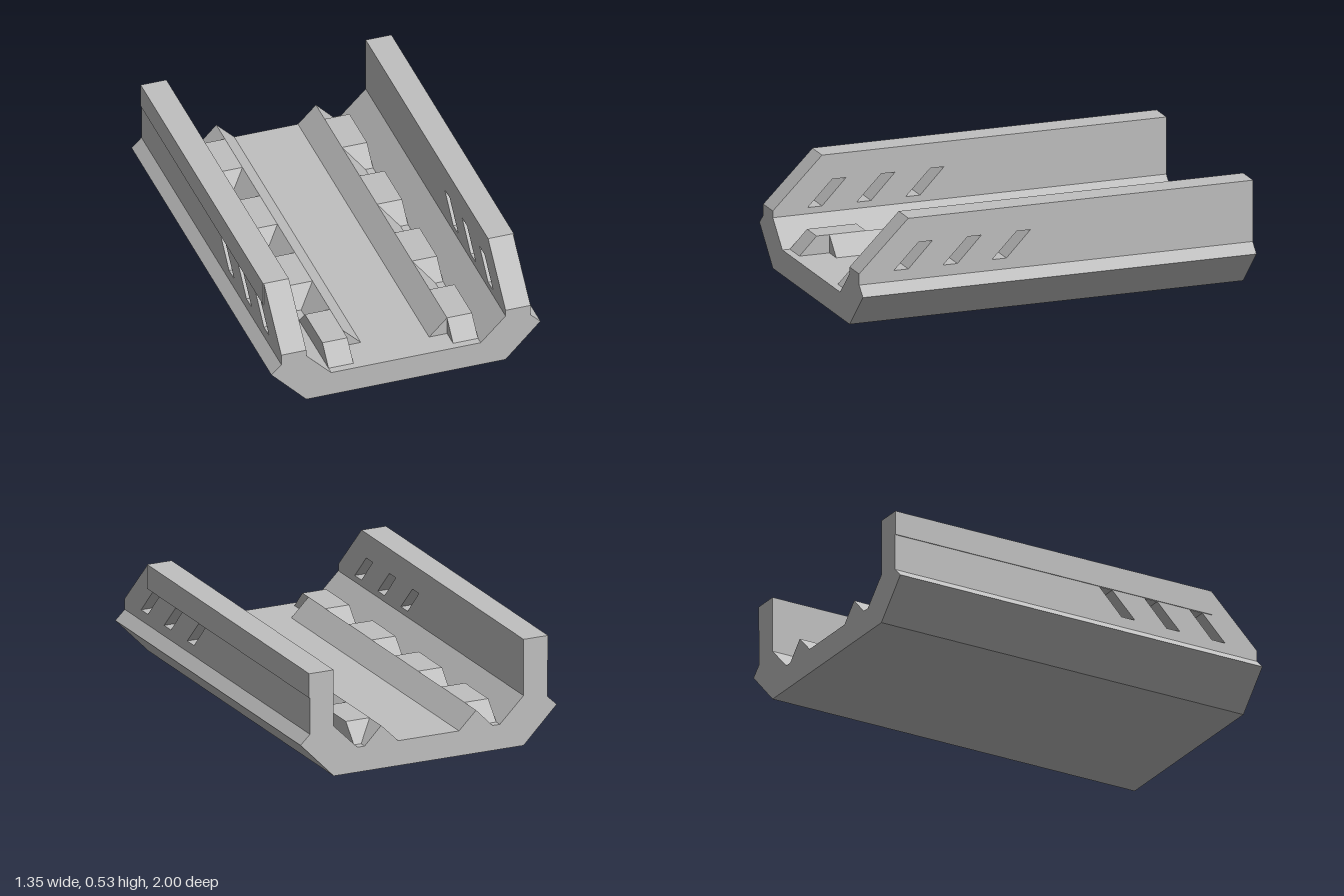
import * as THREE from 'three';

const toShape = (pts) => new THREE.Shape(pts.map(([x, y]) => new THREE.Vector2(x, y)));

// Profile in x-y, swept along z from z0 to z1
function sweepZ(pts, z0, z1) {
  const g = new THREE.ExtrudeGeometry(toShape(pts), { depth: z1 - z0, bevelEnabled: false });
  return g.translate(0, 0, z0);
}

// Profile in z-y, swept along x and centred on cx
function sweepX(shape, width, cx) {
  const g = new THREE.ExtrudeGeometry(shape, { depth: width, bevelEnabled: false });
  return g.translate(0, 0, -width / 2).rotateY(-Math.PI / 2).translate(cx, 0, 0);
}

export function createModel() {
  const group = new THREE.Group();
  const grey = new THREE.MeshStandardMaterial({ color: 0xc0c0c0 });
  const add = (name, geometry) => {
    const mesh = new THREE.Mesh(geometry, grey);
    mesh.name = name;
    group.add(mesh);
  };

  const floorY = 0.125, topY = 0.215;

  // Channel base with flared sides
  const half = [[0.5, 0], [0.675, 0.18], [0.625, 0.228], [0.625, 0.25], [0.5, 0.25], [0.375, floorY]];
  const mirrored = half.map(([x, y]) => [-x, y]).reverse();
  add('base', sweepZ([...half, ...mirrored], -1, 1));

  for (const s of [1, -1]) {
    const side = s > 0 ? 'left' : 'right';

    // Side wall with sloped front and slanted slots
    const wall = toShape([[-1, 0.25], [1, 0.25], [1, 0.283], [0.75, 0.532], [-1, 0.532]]);
    for (const z of [0.823, 0.574, 0.325]) {
      wall.holes.push(new THREE.Path([
        [z, 0.281], [z - 0.125, 0.408], [z - 0.195, 0.408], [z - 0.073, 0.281],
      ].map(([u, v]) => new THREE.Vector2(u, v))));
    }
    add(side + 'Wall', sweepX(wall, 0.125, s * 0.5625));

    // Slightly raised band along the top of the outer face
    const band = new THREE.BoxGeometry(0.004, 0.122, 1.75);
    band.translate(s * 0.627, 0.471, -0.125);
    add(side + 'WallBand', band);

    // Ridge running along the floor
    const ridge = [[0.16, floorY], [0.25, topY], [0.337, floorY]].map(([x, y]) => [s * x, y]);
    add(side + 'Ridge', sweepZ(ridge, -1, s > 0 ? 0.875 : 0.81));

    // Sloped teeth beside the ridge
    for (let i = 0; i < 4; i++) {
      const a = -0.875 + i * 0.5, b = a + 0.25, run = 0.087;
      const tooth = toShape([[a - run, floorY], [b + run, floorY], [b, topY], [a, topY]]);
      add(side + 'Tooth' + (i + 1), sweepX(tooth, 0.125, s * 0.3125));
    }
  }
  return group;
}
